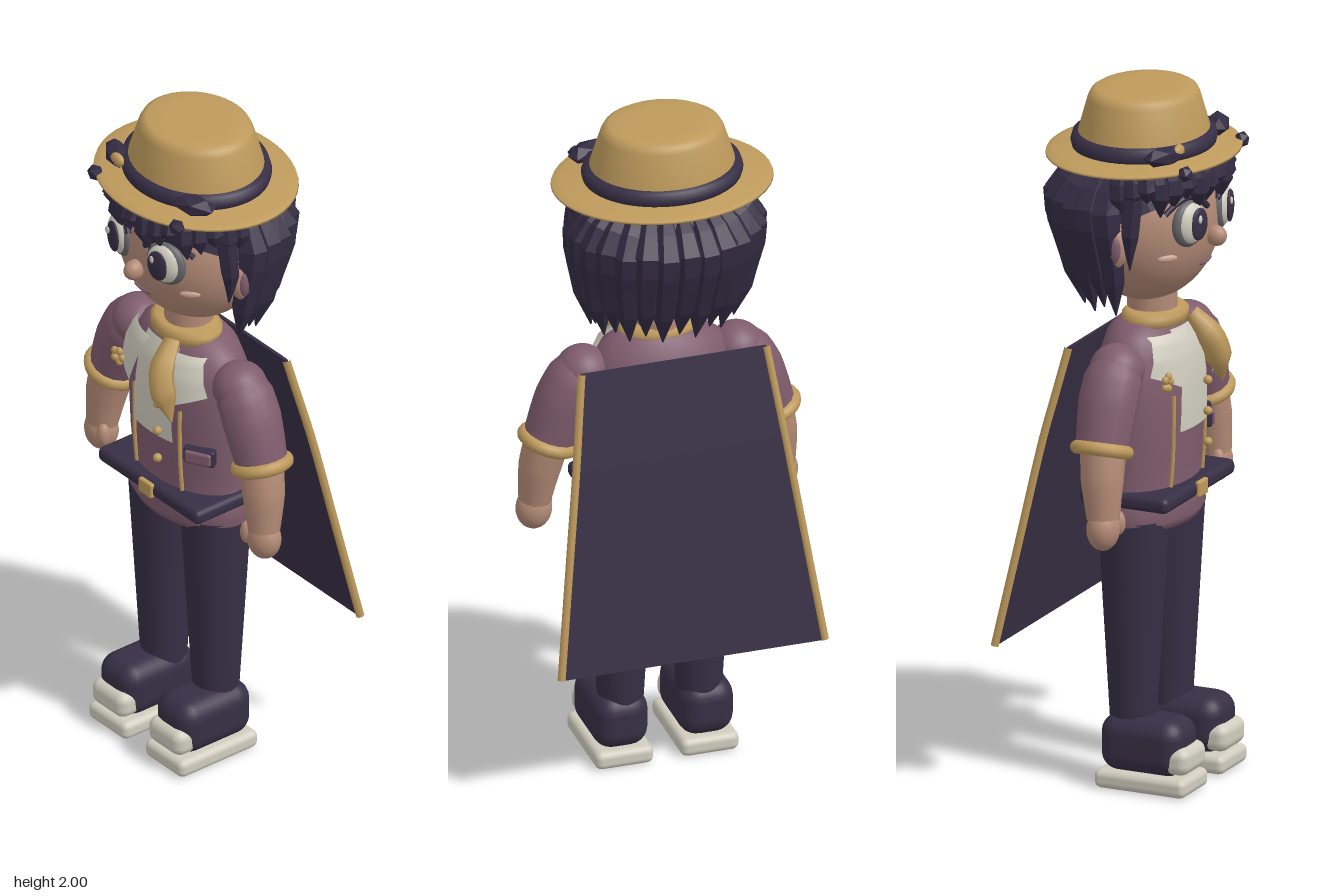
import * as THREE from 'three';
import { RoundedBoxGeometry } from 'three/addons/geometries/RoundedBoxGeometry.js';

const mat = (name, color, flatShading = false) => {
  const m = new THREE.MeshStandardMaterial({ color, flatShading });
  m.name = name;
  return m;
};
const V = (x, y, z) => new THREE.Vector3(x, y, z);

export function createModel() {
  const gold = mat('gold', 0xbe9a5c), skin = mat('skin', 0xb38a76), mauve = mat('mauve', 0x7f5c6d);
  const dark = mat('dark indigo', 0x372f45), hairMat = mat('hair', 0x332b42, true);
  const cream = mat('cream', 0xd0ccbe), grey = mat('grey', 0x66666a), blush = mat('blush', 0xc9a08c);

  const model = new THREE.Group();
  model.name = 'caped traveller';
  const add = (name, geo, material, x = 0, y = 0, z = 0) => {
    const m = new THREE.Mesh(geo, material);
    m.name = name;
    m.position.set(x, y, z);
    model.add(m);
    return m;
  };
  const ball = (name, material, x, y, z, rx, ry, rz, seg = 24) =>
    add(name, new THREE.SphereGeometry(1, seg, Math.ceil(seg * 0.67)).scale(rx, ry, rz), material, x, y, z);
  const box = (name, material, x, y, z, w, h, d, r) =>
    add(name, new RoundedBoxGeometry(w, h, d, 3, r), material, x, y, z);
  const lathe = (name, material, pts, zScale, z = 0, seg = 40) =>
    add(name, new THREE.LatheGeometry(pts.map(p => new THREE.Vector2(...p)), seg).scale(1, 1, zScale), material, 0, 0, z);
  const tube = (name, material, pts, r, seg = 12) =>
    add(name, new THREE.TubeGeometry(new THREE.CatmullRomCurve3(pts), seg, r, 8), material);

  // tube whose radius follows a list of radii
  const taper = (name, material, pts, radii, sides = 16, seg = 12) => {
    const curve = new THREE.CatmullRomCurve3(pts);
    const geo = new THREE.TubeGeometry(curve, seg, 1, sides);
    const p = geo.attributes.position, v = V(0, 0, 0);
    for (let i = 0; i <= seg; i++) {
      const c = curve.getPointAt(i / seg), f = (i / seg) * (radii.length - 1);
      const k = Math.min(Math.floor(f), radii.length - 2);
      const r = THREE.MathUtils.lerp(radii[k], radii[k + 1], f - k);
      for (let j = 0; j <= sides; j++) {
        const n = i * (sides + 1) + j;
        v.fromBufferAttribute(p, n).sub(c).multiplyScalar(r).add(c);
        p.setXYZ(n, v.x, v.y, v.z);
      }
    }
    geo.computeVertexNormals();
    return add(name, geo, material);
  };

  // jacket body
  const body = [[0, 0.75], [0.2, 0.75], [0.22, 0.775], [0.213, 0.82], [0.203, 0.87], [0.212, 0.95], [0.218, 1.08],
    [0.215, 1.18], [0.2, 1.25], [0.172, 1.305], [0.13, 1.335], [0.09, 1.345], [0, 1.345]];
  lathe('jacket', mauve, body, 0.61, 0.03);
  const front = (x, y) => {
    let k = 1;
    while (k < body.length - 2 && body[k + 1][1] < y) k++;
    const [a, b] = [body[k], body[k + 1]];
    const r = a[0] + (b[0] - a[0]) * (y - a[1]) / (b[1] - a[1]);
    return 0.03 + 0.61 * Math.sqrt(Math.max(0, r * r - x * x));
  };
  // four-cornered cloth patch laid over the jacket: bottom left, bottom right, top right, top left
  const patch = (name, material, [a, b, c, d], off) => {
    const geo = new THREE.PlaneGeometry(1, 1, 8, 8), p = geo.attributes.position;
    for (let i = 0; i < p.count; i++) {
      const u = p.getX(i) + 0.5, w = p.getY(i) + 0.5;
      const mix = k => (a[k] * (1 - u) + b[k] * u) * (1 - w) + (d[k] * (1 - u) + c[k] * u) * w;
      p.setXYZ(i, mix(0), mix(1), front(mix(0), mix(1)) + off);
    }
    geo.computeVertexNormals();
    const m = material.clone();
    m.side = THREE.DoubleSide;
    return add(name, geo, m);
  };
  patch('shirtFront', cream, [[-0.085, 1.03], [0.085, 1.03], [0.07, 1.32], [-0.07, 1.32]], 0.012);
  for (const s of [1, -1]) {
    const q = [[-0.185, 1.21], [-0.085, 1.16], [-0.03, 1.32], [-0.15, 1.315]].map(([x, y]) => [x * s, y]);
    patch('lapel', cream, s > 0 ? q : [q[1], q[0], q[3], q[2]], 0.03);
    tube('jacketPiping', gold, [0.87, 0.95, 1.03, 1.14].map(y => V(s * 0.1, y, front(0.1, y) + 0.003)), 0.006);
  }
  for (const y of [0.97, 1.06, 1.15]) ball('button', gold, 0.045, y, 0.185, 0.013, 0.013, 0.013, 12);
  box('pocketEdge', dark, 0.16, 1.01, 0.125, 0.092, 0.052, 0.03, 0.008).rotation.y = 0.5;
  box('pocket', mauve, 0.162, 1.01, 0.13, 0.08, 0.04, 0.034, 0.008).rotation.y = 0.5;
  for (let i = 0; i < 5; i++) {
    const a = i * Math.PI * 0.4;
    ball('broochPetal', gold, -0.16 + 0.018 * Math.cos(a), 1.195 + 0.018 * Math.sin(a), 0.16, 0.012, 0.012, 0.01, 10);
  }

  // belt
  box('belt', dark, 0, 0.85, 0.05, 0.445, 0.045, 0.275, 0.018);
  box('buckle', gold, 0, 0.85, 0.188, 0.058, 0.046, 0.016, 0.006);

  // neck and scarf
  add('neck', new THREE.CylinderGeometry(0.07, 0.07, 0.12, 24), skin, 0, 1.37, 0.035);
  lathe('scarfCollar', gold, [[0.09, 1.315], [0.118, 1.325], [0.118, 1.35], [0.1, 1.362], [0.06, 1.362]], 0.74, 0.045);
  taper('scarfTail', gold, [V(0.045, 1.34, 0.13), V(0.07, 1.26, 0.19), V(0.12, 1.13, 0.195)], [0.025, 0.038, 0.038, 0.003], 6);

  for (const s of [1, -1]) {
    // arm
    ball('shoulder', mauve, s * 0.225, 1.235, 0.035, 0.078, 0.075, 0.078);
    taper('sleeve', mauve, [V(s * 0.21, 1.27, 0.035), V(s * 0.27, 1.17, 0.035), V(s * 0.325, 1.03, 0.037)], [0.06, 0.083, 0.085, 0.08, 0.074]);
    const cuff = add('cuff', new THREE.TorusGeometry(0.07, 0.02, 10, 28), gold, s * 0.325, 1.03, 0.037);
    cuff.lookAt(s * 0.37, 0.9, 0.04);
    taper('forearm', skin, [V(s * 0.32, 1.05, 0.04), V(s * 0.345, 0.95, 0.048), V(s * 0.358, 0.84, 0.057)], [0.066, 0.06, 0.046]);
    ball('hand', skin, s * 0.36, 0.812, 0.058, 0.052, 0.062, 0.046);
    ball('thumb', skin, s * 0.318, 0.822, 0.085, 0.02, 0.036, 0.02, 14);

    // leg and boot
    add('leg', new THREE.CylinderGeometry(0.1, 0.065, 0.6, 28), dark, s * 0.115, 0.48, 0.033);
    box('bootShaft', dark, s * 0.125, 0.13, 0.085, 0.16, 0.165, 0.255, 0.055);
    box('sole', cream, s * 0.125, 0.027, 0.092, 0.17, 0.054, 0.28, 0.02);
    box('toeCap', cream, s * 0.125, 0.1, 0.195, 0.145, 0.08, 0.08, 0.03);
  }

  // cape: a bent, flaring sheet with piped sides
  const capeTop = 1.295, capeBottom = 0.435;
  const capeZ = y => (y > 1.03 ? -0.155 + 0.062 * (y - 1.03) / 0.265 : -0.265 + 0.11 * (y - capeBottom) / 0.595);
  const capeX = y => 0.385 - 0.115 * (y - capeBottom) / (capeTop - capeBottom);
  const cape = new THREE.BoxGeometry(2, capeTop - capeBottom, 0.01, 1, 26, 1).translate(0, (capeTop + capeBottom) / 2, 0);
  const cp = cape.attributes.position;
  for (let i = 0; i < cp.count; i++) {
    const y = cp.getY(i);
    cp.setXYZ(i, cp.getX(i) * capeX(y), y, cp.getZ(i) + capeZ(y));
  }
  cape.computeVertexNormals();
  add('cape', cape, dark);
  for (const s of [1, -1]) {
    const pts = [capeTop, 1.16, 1.03, 0.73, capeBottom].map(y => V(s * capeX(y), y, capeZ(y)));
    tube('capeTrim', gold, pts, 0.012, 20);
  }

  // head and face
  ball('head', skin, 0, 1.625, 0.02, 0.232, 0.24, 0.2, 40);
  const faceZ = (x, y) => 0.02 + 0.2 * Math.sqrt(Math.max(0, 1 - (x / 0.232) ** 2 - ((y - 1.625) / 0.24) ** 2));
  ball('nose', skin, 0, 1.59, 0.232, 0.026, 0.03, 0.032, 18);
  tube('mouth', mauve, [-0.036, -0.018, 0, 0.018, 0.036].map(x => {
    const y = 1.507 + 6 * x * x;
    return V(x, y, faceZ(x, y) + 0.002);
  }), 0.005);
  for (const s of [1, -1]) {
    ball('eyeRim', grey, s * 0.1, 1.648, 0.197, 0.064, 0.067, 0.026).rotation.y = s * 0.3;
    ball('eyeWhite', cream, s * 0.1, 1.65, 0.203, 0.055, 0.06, 0.03).rotation.y = s * 0.3;
    ball('pupil', dark, s * 0.098, 1.65, 0.228, 0.034, 0.047, 0.01).rotation.y = s * 0.25;
    ball('eyeGlint', cream, s * 0.098 - 0.013, 1.668, 0.238, 0.009, 0.012, 0.004, 12);
    tube('eyelash', hairMat, [[0.035, 1.685], [0.065, 1.715], [0.1, 1.724], [0.14, 1.71], [0.172, 1.685]].map(
      ([x, y]) => V(s * x, y, faceZ(x, y) + 0.012)), 0.009);
    ball('cheek', blush, s * 0.155, 1.555, faceZ(0.155, 1.555), 0.03, 0.011, 0.008, 16).rotation.y = s * 0.75;
    ball('ear', skin, s * 0.237, 1.595, 0.03, 0.03, 0.065, 0.042);
    ball('innerEar', mauve, s * 0.255, 1.595, 0.038, 0.016, 0.043, 0.024, 16);
    // sideburn
    taper('sideburn', hairMat, [V(s * 0.225, 1.74, 0.085), V(s * 0.24, 1.63, 0.082), V(s * 0.225, 1.53, 0.075)], [0.03, 0.027, 0.002], 6, 4);
  }

  // hair: tilted cap, fringe around the front and long locks around the back
  const cap = add('hairCap', new THREE.SphereGeometry(1, 28, 12, 0, Math.PI * 2, 0, Math.PI / 2), hairMat, 0, 1.64, -0.005);
  cap.scale.set(0.245, 0.22, 0.225);
  cap.rotation.x = -0.42;
  for (let i = 0; i < 17; i++) {
    const a = (i / 16 - 0.5) * 2.9, sx = Math.sin(a), cz = Math.cos(a);
    const tip = 1.7 + 0.022 * ((i * 7) % 3 - 1);
    taper('fringe', hairMat, [V(0.225 * sx, 1.81, 0.02 + 0.195 * cz), V(0.238 * sx, 1.765, 0.02 + 0.212 * cz),
      V(0.228 * sx + 0.008, tip, 0.02 + 0.2 * cz)], [0.022, 0.032, 0.002], 6, 4);
  }
  for (let i = 0; i < 15; i++) {
    const a = (i / 14 - 0.5) * 3.3, sx = Math.sin(a), cz = Math.cos(a);
    const tip = 1.385 + 0.02 * (i % 2);
    taper('backLock', hairMat, [V(0.19 * sx, 1.775, -0.01 - 0.15 * cz), V(0.246 * sx, 1.7, -0.01 - 0.212 * cz),
      V(0.232 * sx, 1.55, 0.005 - 0.195 * cz), V(0.205 * sx, tip, 0.01 - 0.155 * cz)], [0.025, 0.045, 0.04, 0.034, 0.002], 6, 8);
  }

  // hat
  const hatZ = 0.01;
  lathe('hatBrim', gold, [[0.15, 1.806], [0.22, 1.804], [0.29, 1.808], [0.315, 1.816], [0.313, 1.822], [0.29, 1.826],
    [0.23, 1.834], [0.19, 1.84]], 0.84, hatZ, 48);
  lathe('hatCrown', gold, [[0.214, 1.825], [0.207, 1.87], [0.19, 1.925], [0.175, 1.972], [0.166, 1.988], [0.15, 1.997],
    [0.1, 2], [0, 2]], 0.87, hatZ, 48);
  lathe('hatBand', dark, [[0.2, 1.826], [0.224, 1.832], [0.229, 1.85], [0.222, 1.872], [0.2, 1.876]], 0.87, hatZ, 48);
  for (const s of [1, -1]) {
    const leaf = add('hatLeaf', new THREE.IcosahedronGeometry(1, 0), hairMat, s * 0.172, 1.858, 0.155);
    leaf.scale.set(0.07, 0.03, 0.036);
    leaf.rotation.y = s * 0.5;
    const tuft = add('hairTuft', new THREE.IcosahedronGeometry(1, 0), hairMat, s * 0.18, 1.818, 0.225);
    tuft.scale.set(0.026, 0.024, 0.022);
  }
  ball('hatPin', gold, -0.135, 1.866, 0.182, 0.026, 0.02, 0.014, 14);
  return model;
}
